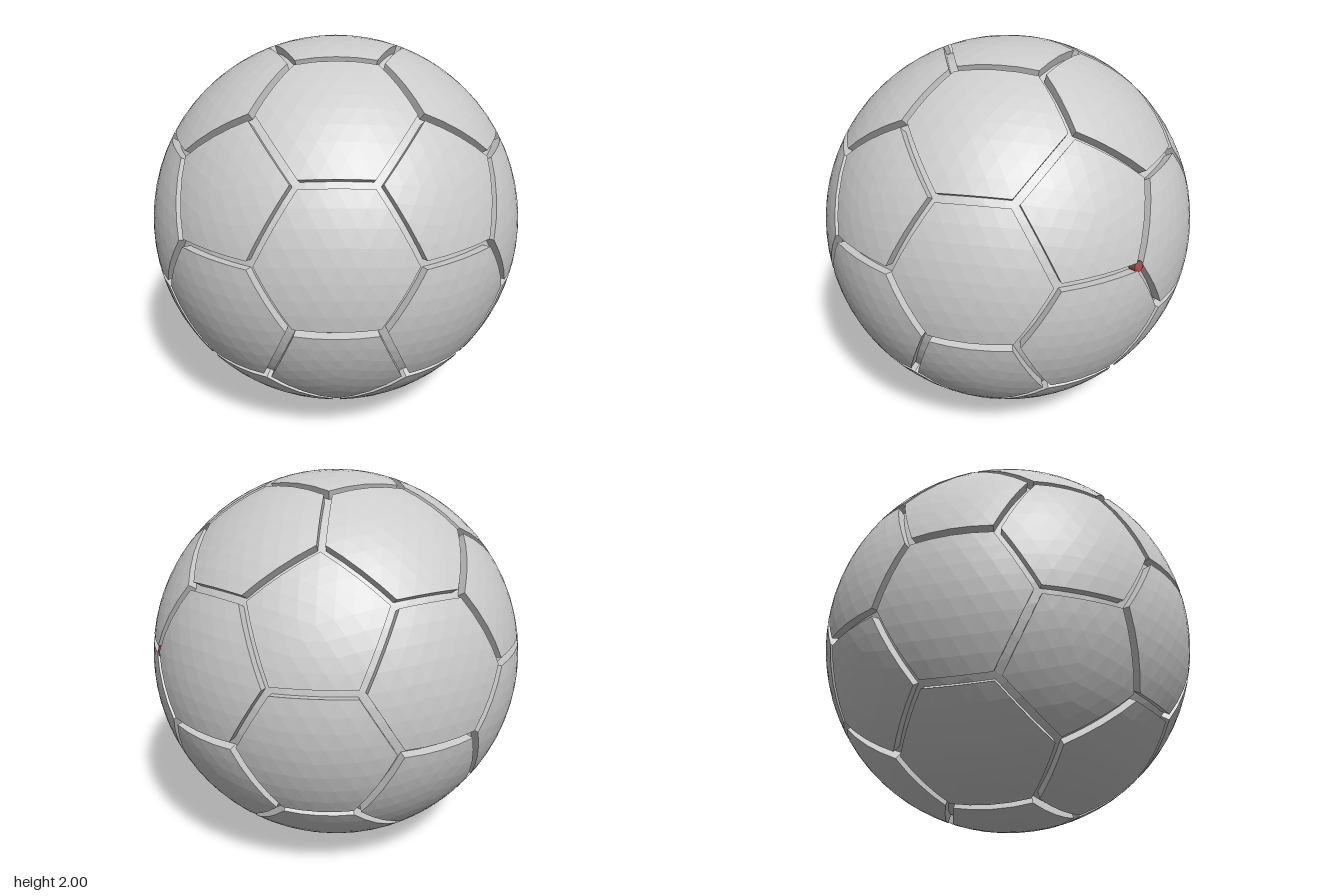
import * as THREE from 'three';

const HALF_GAP = 0.02;   // half the seam width
const CORE = 0.955;      // radius of the seam floor
const CUT = 0.35;        // where panels cut the icosahedron edges
const ROWS = 4;          // facet rows per panel wedge

// Twelve pentagon centres: two poles and two staggered rings
function pentagonCentres() {
  const dirs = [new THREE.Vector3(0, 1, 0), new THREE.Vector3(0, -1, 0)];
  const h = 1 / Math.sqrt(5), r = 2 * h;
  for (let i = 0; i < 5; i++) {
    const a = i * Math.PI * 0.4, b = a + Math.PI / 5;
    dirs.push(new THREE.Vector3(r * Math.cos(a), h, r * Math.sin(a)));
    dirs.push(new THREE.Vector3(r * Math.cos(b), -h, r * Math.sin(b)));
  }
  return dirs;
}

// Counter-clockwise order of points seen from outside along the axis
function sortAround(axis, points) {
  const u = points[0].clone().projectOnPlane(axis).normalize();
  const v = axis.clone().cross(u);
  const angle = p => Math.atan2(p.dot(v), p.dot(u));
  return points.slice().sort((p, q) => angle(p) - angle(q));
}

// Move each side of a spherical polygon inwards by the half gap
function insetCorners(points) {
  const count = points.length;
  const normals = points.map((p, i) => p.clone().cross(points[(i + 1) % count]).normalize());
  return points.map((p, i) => {
    const a = normals[(i + count - 1) % count], b = normals[i];
    const shift = a.clone().add(b).multiplyScalar(Math.sin(HALF_GAP) / (1 + a.dot(b)));
    const along = a.clone().cross(b).normalize();
    return along.multiplyScalar(Math.sqrt(1 - shift.lengthSq())).add(shift);
  });
}

// Faceted spherical panel with walls running down into the seam
function panelGeometry(centre, outline) {
  const corners = insetCorners(sortAround(centre, outline));
  const pos = [];
  const tri = (...vs) => vs.forEach(v => pos.push(v.x, v.y, v.z));
  corners.forEach((a, k) => {
    const b = corners[(k + 1) % corners.length];
    const at = (row, j) => {
      const s = row / ROWS, t = row ? j / row : 0;
      return centre.clone().multiplyScalar(1 - s)
        .addScaledVector(a, s * (1 - t)).addScaledVector(b, s * t).normalize();
    };
    for (let row = 0; row < ROWS; row++) {
      for (let j = 0; j <= row; j++) {
        tri(at(row, j), at(row + 1, j), at(row + 1, j + 1));
        if (j < row) tri(at(row, j), at(row + 1, j + 1), at(row, j + 1));
      }
    }
    for (let j = 0; j < ROWS; j++) {
      const p = at(ROWS, j), q = at(ROWS, j + 1);
      const pl = p.clone().multiplyScalar(CORE - 0.01), ql = q.clone().multiplyScalar(CORE - 0.01);
      tri(p, pl, ql);
      tri(p, ql, q);
    }
  });
  const geo = new THREE.BufferGeometry();
  geo.setAttribute('position', new THREE.Float32BufferAttribute(pos, 3));
  geo.computeVertexNormals();
  return geo;
}

export function createModel() {
  const model = new THREE.Group();
  model.name = 'ball';
  const grey = new THREE.MeshStandardMaterial({ color: 0xcccccc, flatShading: true });
  const red = new THREE.MeshStandardMaterial({ color: 0xb04a4a });
  const add = (name, geo, mat) => {
    const mesh = new THREE.Mesh(geo, mat);
    mesh.name = name;
    mesh.position.y = 1;
    model.add(mesh);
    return mesh;
  };

  const dirs = pentagonCentres();
  const near = (a, b) => a !== b && a.dot(b) > 0.4;
  const cut = (a, b) => a.clone().lerp(b, CUT).normalize();

  // Inner bladder forming the seam floor
  add('core', new THREE.IcosahedronGeometry(CORE, 11), grey);

  // Twelve pentagon panels
  for (const d of dirs) {
    const outline = dirs.filter(n => near(d, n)).map(n => cut(d, n));
    add('pentagonPanel', panelGeometry(d, outline), grey);
  }

  // Twenty hexagon panels, one for each trio of neighbouring pentagons
  for (let i = 0; i < 12; i++) for (let j = i + 1; j < 12; j++) for (let k = j + 1; k < 12; k++) {
    const trio = [dirs[i], dirs[j], dirs[k]];
    if (!trio.every(a => trio.every(b => a === b || near(a, b)))) continue;
    const centre = trio[0].clone().add(trio[1]).add(trio[2]).normalize();
    const outline = trio.flatMap(a => trio.filter(b => b !== a).map(b => cut(a, b)));
    add('hexagonPanel', panelGeometry(centre, outline), grey);
  }

  // Small red valve in a seam junction at the back
  const valveDir = new THREE.Vector3(0.095, 0.153, -0.984).normalize();
  const valve = add('valve', new THREE.CylinderGeometry(0.028, 0.028, 0.04, 12), red);
  valve.quaternion.setFromUnitVectors(new THREE.Vector3(0, 1, 0), valveDir);
  valve.position.addScaledVector(valveDir, 0.975);

  return model;
}
